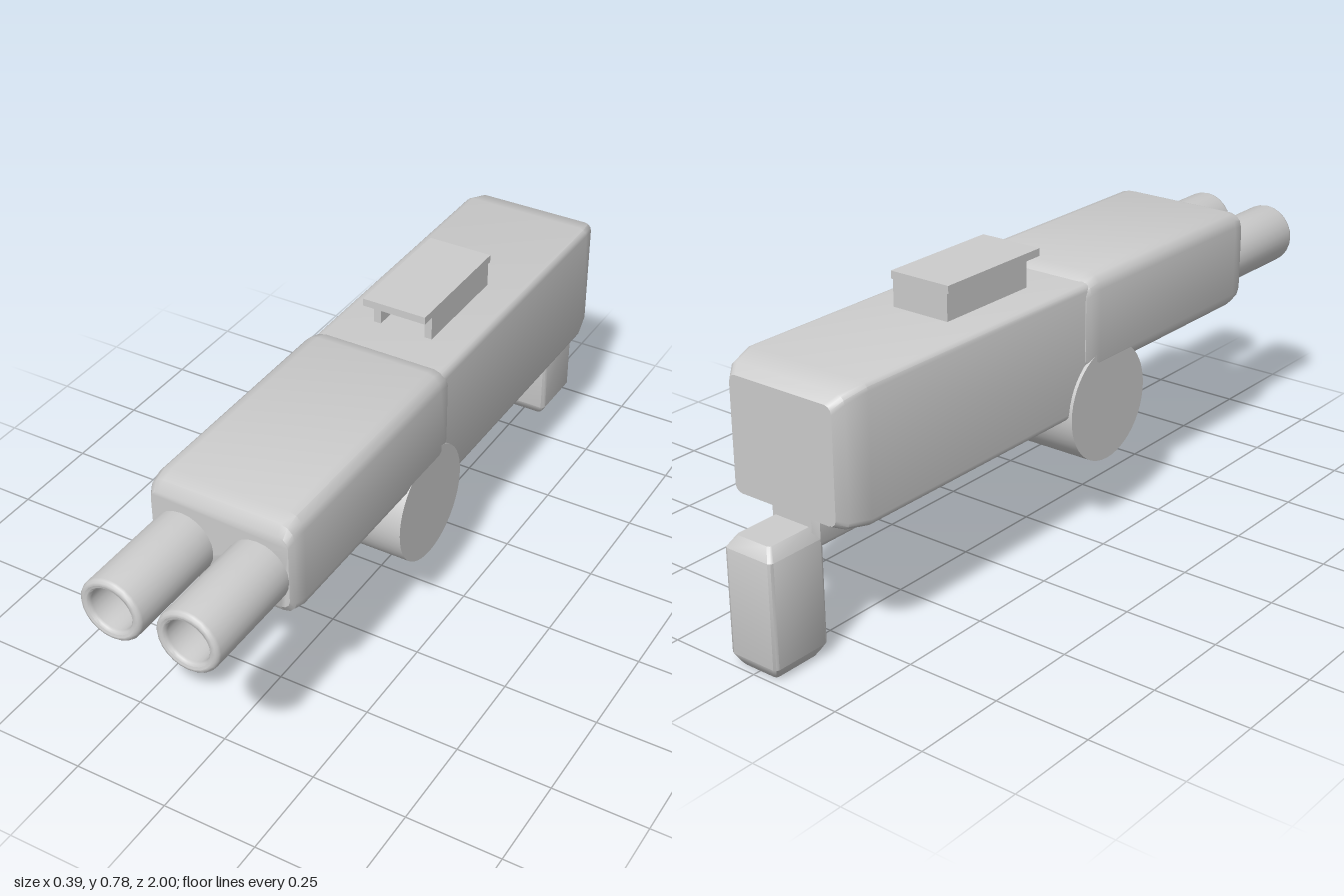
import * as THREE from 'three';
import { toCreasedNormals } from 'three/addons/utils/BufferGeometryUtils.js';

// Loft of rounded rectangles along z; each section is [z, halfWidth, yMin, yMax, cornerRadius]
function loft(sections, steps = 3) {
  const rings = sections.map(([z, w, y0, y1, r]) => {
    const ring = [];
    const corners = [[w - r, y1 - r], [-w + r, y1 - r], [-w + r, y0 + r], [w - r, y0 + r]];
    corners.forEach(([cx, cy], c) => {
      for (let s = 0; s <= steps; s++) {
        const a = (c + s / steps) * Math.PI / 2;
        ring.push([cx + r * Math.cos(a), cy + r * Math.sin(a), z]);
      }
    });
    return ring;
  });
  const pos = [];
  const tri = (a, b, c) => pos.push(...a, ...b, ...c);
  const n = rings[0].length, back = rings[0], front = rings[rings.length - 1];
  for (let i = 0; i < rings.length - 1; i++) {
    for (let j = 0; j < n; j++) {
      const k = (j + 1) % n;
      tri(rings[i][j], rings[i][k], rings[i + 1][k]);
      tri(rings[i][j], rings[i + 1][k], rings[i + 1][j]);
    }
  }
  for (let j = 1; j < n - 1; j++) {
    tri(front[0], front[j], front[j + 1]);
    tri(back[0], back[j + 1], back[j]);
  }
  const geo = new THREE.BufferGeometry();
  geo.setAttribute('position', new THREE.Float32BufferAttribute(pos, 3));
  return toCreasedNormals(geo, 0.6);
}

export function createModel() {
  const model = new THREE.Group();
  model.name = 'blaster';
  const grey = new THREE.MeshStandardMaterial({ color: 0xcccccc });
  grey.name = 'light grey';

  const add = (name, geo, x = 0, y = 0, z = 0, parent = model) => {
    const mesh = new THREE.Mesh(geo, grey);
    mesh.name = name;
    mesh.position.set(x, y, z);
    parent.add(mesh);
    return mesh;
  };
  // Box given by its limits
  const box = (name, x0, x1, y0, y1, z0, z1, parent) =>
    add(name, new THREE.BoxGeometry(x1 - x0, y1 - y0, z1 - z0),
      (x0 + x1) / 2, (y0 + y1) / 2, (z0 + z1) / 2, parent);

  // Main housings
  add('rearBody', loft([
    [-0.875, 0.155, 0.365, 0.655, 0.02],
    [-0.85, 0.172, 0.354, 0.675, 0.02],
    [-0.79, 0.185, 0.345, 0.69, 0.02],
    [0.1, 0.185, 0.345, 0.69, 0.02],
  ]));
  add('frontBody', loft([
    [0.0, 0.187, 0.455, 0.685, 0.035],
    [0.015, 0.192, 0.443, 0.695, 0.038],
    [0.05, 0.195, 0.435, 0.705, 0.04],
    [0.67, 0.195, 0.435, 0.705, 0.04],
    [0.705, 0.191, 0.446, 0.693, 0.035],
    [0.72, 0.183, 0.468, 0.668, 0.025],
  ]));

  // Cross drum under the joint
  const drum = new THREE.CylinderGeometry(0.155, 0.155, 0.388, 48);
  drum.rotateZ(Math.PI / 2);
  add('drum', drum, 0, 0.35, 0.09);

  // Twin hollow barrels with rounded lips
  const profile = [[0.082, 0]];
  for (let i = 0; i <= 6; i++) {
    const a = i / 6 * Math.PI;
    profile.push([0.069 + 0.013 * Math.cos(a), 0.307 + 0.013 * Math.sin(a)]);
  }
  profile.push([0.056, 0.22], [0, 0.22]);
  const barrel = toCreasedNormals(
    new THREE.LatheGeometry(profile.map(([r, y]) => new THREE.Vector2(r, y)), 24), 0.7);
  barrel.rotateX(Math.PI / 2);
  for (const side of [-1, 1]) {
    add(side > 0 ? 'leftBarrel' : 'rightBarrel', barrel, side * 0.101, 0.55, 0.68);
  }

  // Top sight: overhanging lid on an open-fronted case
  const sight = new THREE.Group();
  sight.name = 'sight';
  model.add(sight);
  box('sightLid', -0.088, 0.088, 0.76, 0.78, -0.405, -0.06, sight);
  box('sightCore', -0.063, 0.063, 0.68, 0.76, -0.404, -0.17, sight);
  for (const side of [-1, 1]) {
    box('sightWall', side * 0.073 - 0.01, side * 0.073 + 0.01, 0.68, 0.76, -0.404, -0.105, sight);
  }

  // Stepped slabs under the rear body
  add('lowerSlab', loft([
    [-0.74, 0.06, 0.325, 0.355, 0.012],
    [-0.71, 0.075, 0.308, 0.355, 0.015],
    [-0.38, 0.075, 0.305, 0.355, 0.015],
    [-0.34, 0.06, 0.32, 0.355, 0.012],
  ]));
  add('gripMount', loft([
    [-0.855, 0.06, 0.29, 0.37, 0.015],
    [-0.84, 0.072, 0.275, 0.37, 0.015],
    [-0.56, 0.072, 0.275, 0.37, 0.015],
    [-0.52, 0.06, 0.295, 0.37, 0.012],
  ]));

  // Upright grip with chamfered ends, lofted along z then stood up
  const grip = loft([
    [0, 0.052, -0.065, 0.065, 0.008],
    [0.012, 0.06, -0.074, 0.074, 0.009],
    [0.032, 0.072, -0.084, 0.084, 0.01],
    [0.3, 0.072, -0.084, 0.084, 0.01],
    [0.33, 0.052, -0.065, 0.065, 0.008],
  ], 2);
  grip.rotateX(-Math.PI / 2);
  add('grip', grip, 0, 0, -0.914);

  return model;
}
